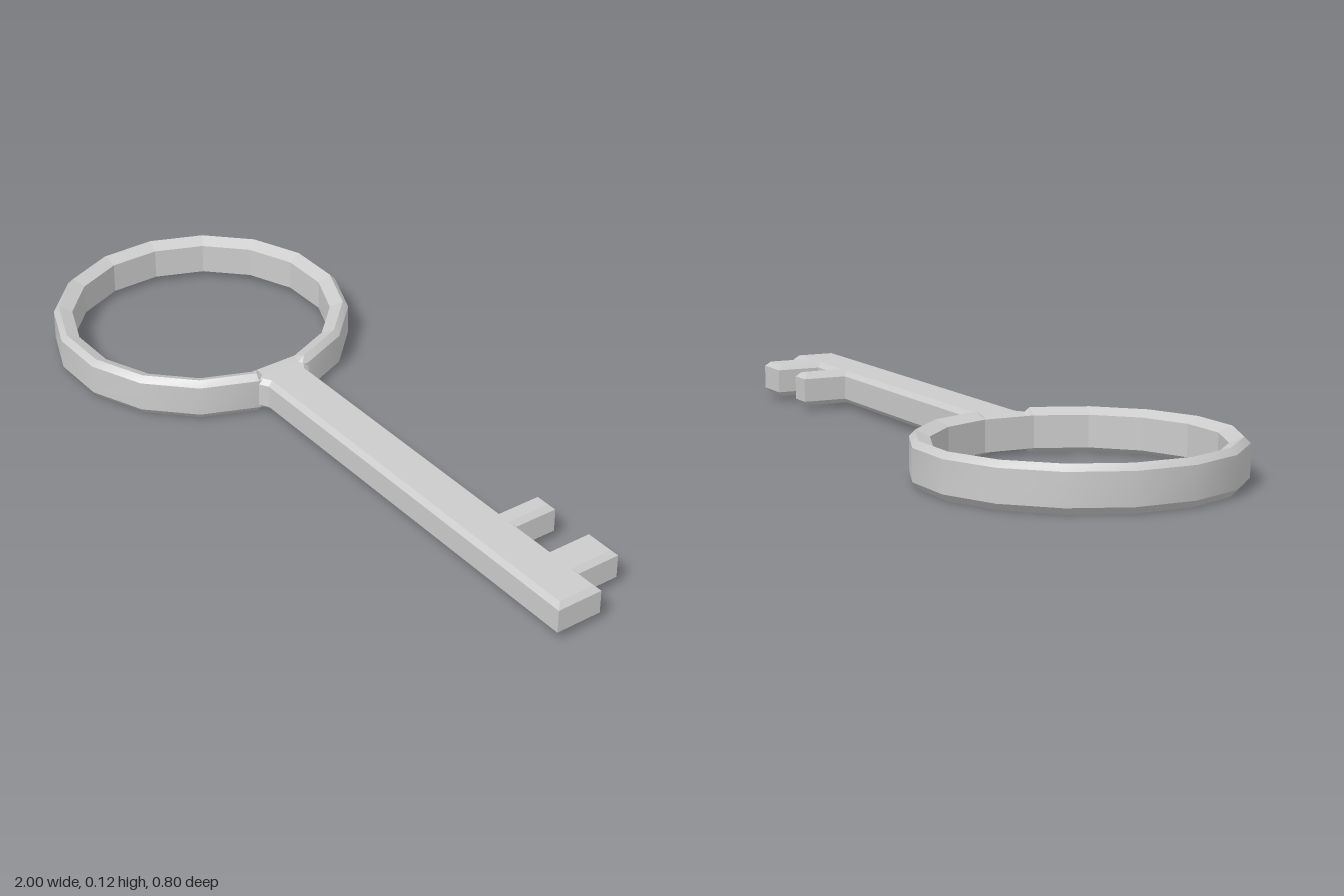
import * as THREE from 'three';
import { toCreasedNormals } from 'three/addons/utils/BufferGeometryUtils.js';

const SIDES = 16;
const MID = 0.058; // mid height of the key
const material = new THREE.MeshStandardMaterial({ color: 0xcccccc });

// Stations around the bow, on a polygon of unit apothem; the side facing the
// shaft gets two extra stations where the rim dips to the shaft's height.
function bowStations() {
  const stations = [{ x: 1, z: 0.15, dip: true }];
  for (let i = 0; i < SIDES; i++) {
    const a = ((i + 0.5) / SIDES) * Math.PI * 2;
    const r = 1 / Math.cos(Math.PI / SIDES);
    if (i === 0) stations.push({ x: 1, z: -0.15, dip: true });
    stations.push({ x: r * Math.cos(a), z: -r * Math.sin(a), dip: false });
  }
  return stations;
}

// Sweeps a profile of [apothem, height from the middle] around the bow
function sweepBow(profile) {
  const stations = bowStations();
  const positions = [];
  const point = (s, [apothem, h]) => {
    const y = s.dip ? Math.max(-0.045, Math.min(0.045, h)) : h;
    return [-0.6 + s.x * apothem, MID + y, s.z * apothem];
  };
  stations.forEach((s, i) => {
    const t = stations[(i + 1) % stations.length];
    for (let j = 0; j < profile.length - 1; j++) {
      const a = point(s, profile[j]), b = point(t, profile[j]);
      const c = point(t, profile[j + 1]), d = point(s, profile[j + 1]);
      positions.push(...a, ...b, ...c, ...a, ...c, ...d);
    }
  });
  const geometry = new THREE.BufferGeometry();
  geometry.setAttribute('position', new THREE.Float32BufferAttribute(positions, 3));
  geometry.computeVertexNormals();
  return geometry;
}

// Bevelled outline of the shaft with its two teeth
function bladeGeometry() {
  const outline = [
    [-0.225, -0.08], [-0.2, -0.08], [-0.175, -0.065], [1, -0.065],
    [1, 0.065], [0.92, 0.065], [0.92, 0.188], [0.815, 0.188], [0.815, 0.065],
    [0.69, 0.065], [0.69, 0.188], [0.625, 0.188], [0.625, 0.065],
    [-0.175, 0.065], [-0.2, 0.08], [-0.225, 0.08],
  ];
  const shape = new THREE.Shape(outline.map(([x, y]) => new THREE.Vector2(x, y)));
  const bevel = 0.013, height = 0.09;
  const geometry = new THREE.ExtrudeGeometry(shape, {
    depth: height - 2 * bevel,
    bevelEnabled: true,
    bevelThickness: bevel,
    bevelSize: bevel,
    bevelOffset: -bevel,
    bevelSegments: 1,
  });
  geometry.translate(0, 0, MID - height / 2 + bevel);
  geometry.rotateX(-Math.PI / 2);
  return geometry;
}

export function createModel() {
  const key = new THREE.Group();
  key.name = 'key';
  const add = (name, geometry) => {
    const mesh = new THREE.Mesh(geometry, material);
    mesh.name = name;
    key.add(mesh);
  };

  // Bow: smooth chamfered outside, faceted inside with sloping rims
  const outside = sweepBow([[0.385, -0.058], [0.4, -0.04], [0.4, 0.042], [0.385, 0.058]]);
  add('bowOutside', toCreasedNormals(outside, Math.PI / 6));
  add('bowInside', sweepBow([[0.385, 0.058], [0.35, 0.042], [0.35, -0.042], [0.385, -0.058]]));

  // Shaft and teeth
  add('shaftWithTeeth', bladeGeometry());
  return key;
}
